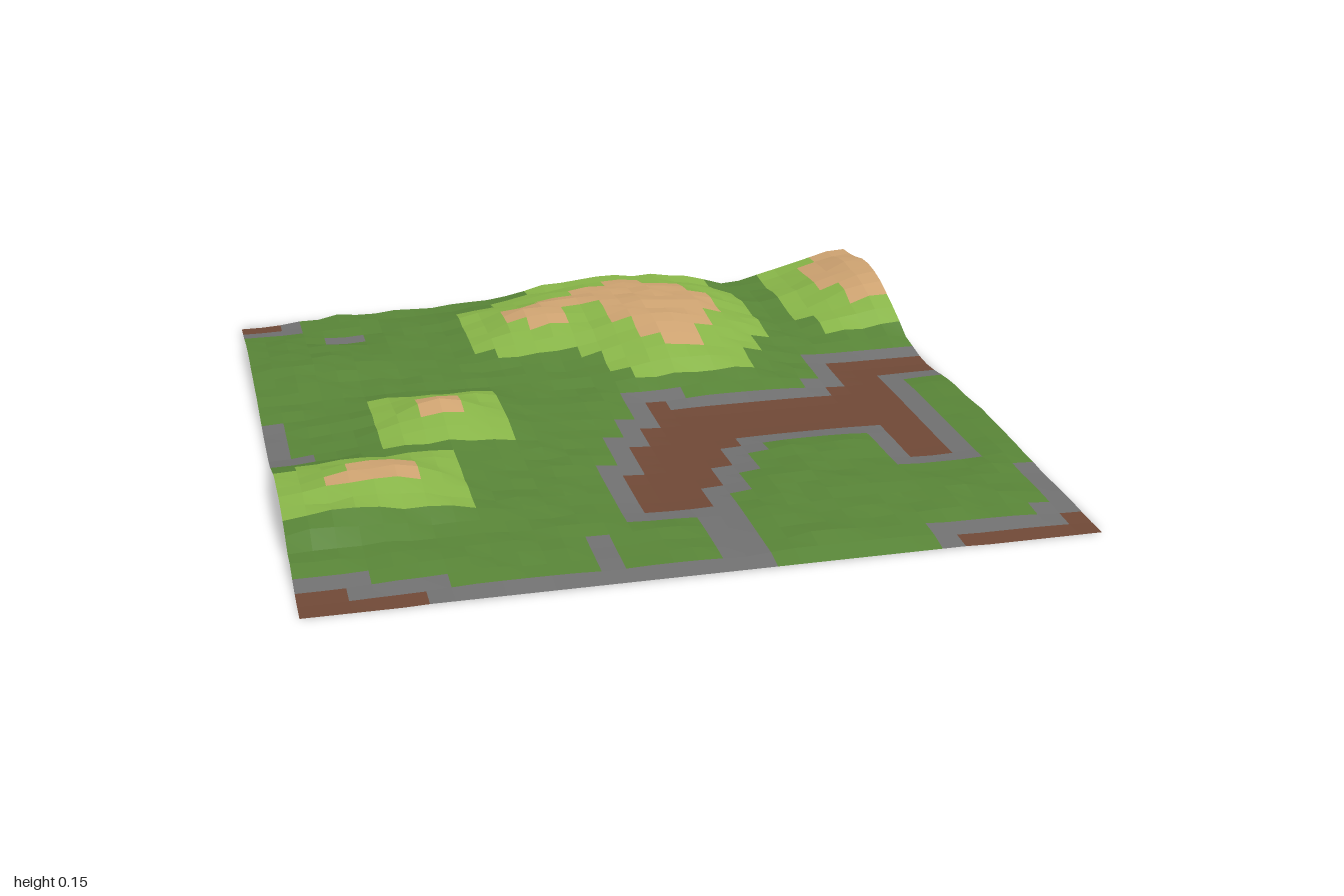
import * as THREE from 'three';

const N = 33;              // cells per side
const STEP = 2 / N;

// Cell rectangles [col0, row0, col1, row1] of the dirt river and corner ponds
const DIRT = [
  [0, 0, 2, 1], [0, 31, 2, 33], [0, 32, 5, 33], [27, 32, 33, 33], [32, 31, 33, 32],
  [18, 15, 19, 16], [18, 16, 30, 20], [27, 15, 30, 16], [28, 12, 30, 24], [30, 12, 33, 14],
  [17, 18, 21, 21], [16, 20, 20, 23], [15, 23, 19, 25], [15, 25, 18, 27],
];

// Stone away from the dirt
const STONE = [
  [4, 3, 6, 4], [0, 14, 1, 19], [1, 18, 2, 19], [5, 32, 19, 33],
  [12, 29, 13, 32], [17, 27, 19, 32], [32, 26, 33, 30],
];

// Sandy hill tops
const PEAKS = [
  [19, 1, 21, 2], [17, 2, 23, 4], [15, 3, 17, 4], [13, 4, 24, 5], [13, 5, 16, 6],
  [14, 6, 16, 7], [18, 5, 24, 7], [18, 7, 23, 8], [19, 8, 23, 9], [19, 9, 22, 10], [20, 10, 22, 11],
  [31, 0, 33, 7], [30, 1, 31, 5],
  [7, 15, 9, 17], [3, 22, 6, 24], [2, 23, 3, 24],
];

// Ground kinds: colour, allowed height band and corner roughness
const KINDS = {
  grass: { color: 0x588437, lo: 0.008, hi: 0.05 },
  stoneBank: { color: 0x707070, lo: 0.001, hi: 0.007 },
  dirtBed: { color: 0x6f4836, lo: 0, hi: 0 },
  brightGrass: { color: 0x88b548, lo: 0.05, hi: 0.085 },
  sandyPeak: { color: 0xcea371, lo: 0.098, hi: 0.108 },
};

// Extra hills: x, z, added height, x radius, z radius
const HILLS = [
  [1, -0.77, 0.045, 0.12, 0.22],
  [0.2, -0.6, 0.025, 0.18, 0.2],
  [-0.85, 0.6, 0.03, 0.2, 0.07],
  [-0.8, -0.55, 0.022, 0.25, 0.2],
];

// Banks ring the dirt one cell wide; bright grass rings the peaks two cells wide
function paintCells() {
  const map = Array.from({ length: N }, () => new Array(N).fill('grass'));
  const paint = (name, rects, grow = 0) => {
    for (const [c0, r0, c1, r1] of rects)
      for (let r = Math.max(0, r0 - grow); r < Math.min(N, r1 + grow); r++)
        for (let c = Math.max(0, c0 - grow); c < Math.min(N, c1 + grow); c++) map[r][c] = name;
  };
  paint('stoneBank', STONE);
  paint('stoneBank', DIRT, 1);
  paint('dirtBed', DIRT);
  paint('brightGrass', PEAKS, 2);
  paint('sandyPeak', PEAKS);
  return map;
}

// Smooth the cell heights while holding each inside its band; grass sinks towards low ground
function relaxHeights(map) {
  let h = map.map(row => row.map(k => (KINDS[k].lo + KINDS[k].hi) / 2));
  for (let pass = 0; pass < 16; pass++) {
    h = h.map((row, r) => row.map((v, c) => {
      const near = [v, h[r + 1]?.[c], h[r - 1]?.[c], row[c + 1], row[c - 1]]
        .filter(n => n !== undefined);
      if (map[r][c] === 'grass') near.push(0.022);
      const { lo, hi } = KINDS[map[r][c]];
      return THREE.MathUtils.clamp(near.reduce((a, b) => a + b, 0) / near.length, lo, hi);
    }));
  }
  return h;
}

// Corner heights: mean of the touching cells, plus hills and roughness
function cornerHeights(cells) {
  let seed = 7;
  const random = () => (seed = (seed * 16807) % 2147483647) / 2147483647;
  const out = [];
  for (let r = 0; r <= N; r++) {
    out.push([]);
    for (let c = 0; c <= N; c++) {
      const near = [[r - 1, c - 1], [r - 1, c], [r, c - 1], [r, c]]
        .map(([a, b]) => cells[a]?.[b]).filter(v => v !== undefined);
      let y = near.reduce((a, b) => a + b, 0) / near.length;
      const x = -1 + c * STEP, z = -1 + r * STEP;
      if (Math.min(...near) > 0.0075) {
        y += (random() - 0.5) * 0.012;
        for (const [hx, hz, add, rx, rz] of HILLS)
          y += add * Math.exp(-(((x - hx) / rx) ** 2) - ((z - hz) / rz) ** 2);
      }
      // the ground runs down to the front edge
      out[r].push(THREE.MathUtils.clamp(y, 0, 0.002 + 0.23 * Math.max(0, 1 - z)));
    }
  }
  return out;
}

// All cells of one kind, each with its own corners so it shades flat
function buildGround(map, corner, kind) {
  const pos = [], index = [];
  for (let r = 0; r < N; r++) for (let c = 0; c < N; c++) {
    if (map[r][c] !== kind) continue;
    const i = pos.length / 3;
    for (const [a, b] of [[r, c], [r + 1, c], [r + 1, c + 1], [r, c + 1]])
      pos.push(-1 + b * STEP, corner[a][b], -1 + a * STEP);
    index.push(i, i + 1, i + 2, i, i + 2, i + 3);
  }
  const geometry = new THREE.BufferGeometry();
  geometry.setAttribute('position', new THREE.Float32BufferAttribute(pos, 3));
  geometry.setIndex(index);
  geometry.computeVertexNormals();
  return geometry;
}

export function createModel() {
  const terrain = new THREE.Group();
  terrain.name = 'terrain';
  const map = paintCells();
  const corner = cornerHeights(relaxHeights(map));
  for (const [name, { color }] of Object.entries(KINDS)) {
    const material = new THREE.MeshStandardMaterial({ color, side: THREE.DoubleSide });
    material.name = name;
    const mesh = new THREE.Mesh(buildGround(map, corner, name), material);
    mesh.name = name;
    terrain.add(mesh);
  }
  return terrain;
}
